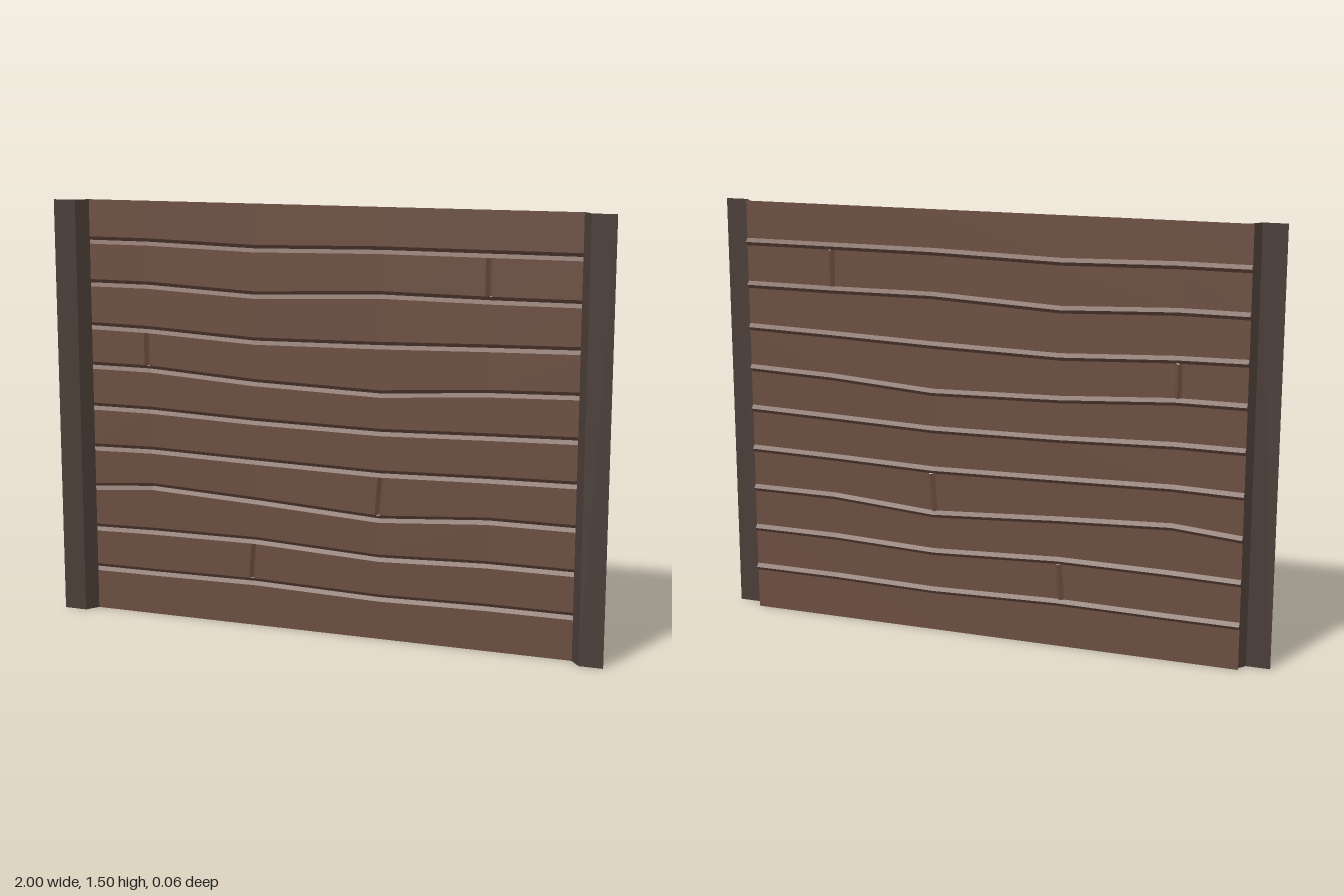
import * as THREE from 'three';

const H = 1.5;
const FACE = -0.016, VALLEY = -0.028, FRONT = 0.028;
const HALF = 0.013; // half the height of a groove
const KNOTS = [-0.9, -0.66, -0.26, 0.2, 0.58, 0.9];

// centre heights of the wavy grooves at each knot, bottom to top
const GROOVES = [
  [0.155, 0.156, 0.16, 0.148, 0.155, 0.155],
  [0.305, 0.31, 0.312, 0.291, 0.305, 0.305],
  [0.457, 0.476, 0.457, 0.43, 0.457, 0.457],
  [0.605, 0.61, 0.6, 0.59, 0.6, 0.605],
  [0.756, 0.756, 0.742, 0.735, 0.746, 0.754],
  [0.906, 0.905, 0.88, 0.868, 0.893, 0.903],
  [1.05, 1.046, 1.026, 1.034, 1.045, 1.052],
  [1.204, 1.204, 1.186, 1.206, 1.203, 1.204],
  [1.356, 1.356, 1.346, 1.356, 1.356, 1.356],
];

// upright butt joints: plank number -> x at the bottom and top
const JOINTS = { 1: [-0.272, -0.262], 3: [0.197, 0.207], 6: [-0.668, -0.668], 8: [0.575, 0.575] };

const heightAt = (line, x) => {
  let i = 0;
  while (i < KNOTS.length - 2 && x > KNOTS[i + 1]) i++;
  return THREE.MathUtils.mapLinear(x, KNOTS[i], KNOTS[i + 1], line[i], line[i + 1]);
};

// ribbon of quads between a lower and an upper row of points, facing +z
function ribbon(name, lower, upper, material) {
  const pos = [], index = [];
  lower.forEach((p, i) => {
    pos.push(...p, ...upper[i]);
    if (i) {
      const a = 2 * i - 2;
      index.push(a, a + 2, a + 3, a, a + 3, a + 1);
    }
  });
  const geo = new THREE.BufferGeometry();
  geo.setAttribute('position', new THREE.Float32BufferAttribute(pos, 3));
  geo.setIndex(index);
  const flat = geo.toNonIndexed();
  flat.computeVertexNormals();
  const mesh = new THREE.Mesh(flat, material);
  mesh.name = name;
  return mesh;
}

export function createModel() {
  const group = new THREE.Group();
  group.name = 'plankWall';
  const opts = { flatShading: true, side: THREE.DoubleSide };
  const wood = new THREE.MeshStandardMaterial({ color: 0x6b4d3f, ...opts });
  const dark = new THREE.MeshStandardMaterial({ color: 0x4a3c36, ...opts });

  // planks, some split by an upright V joint
  for (let n = 0; n <= GROOVES.length; n++) {
    const bottom = n ? x => heightAt(GROOVES[n - 1], x) + HALF : () => 0;
    const top = n < GROOVES.length ? x => heightAt(GROOVES[n], x) - HALF : () => H;
    let columns = KNOTS.map(x => [x, x, FACE]);
    const joint = JOINTS[n];
    if (joint) {
      columns = columns.filter(c => Math.abs(c[0] - joint[0]) > 0.02);
      for (const [d, z] of [[-0.012, FACE], [0, VALLEY], [0.012, FACE]])
        columns.push([joint[0] + d, joint[1] + d, z]);
      columns.sort((a, b) => a[0] - b[0]);
    }
    group.add(ribbon('plank' + (n + 1),
      columns.map(([x, , z]) => [x, bottom(x), z]),
      columns.map(([, x, z]) => [x, top(x), z]), wood));
  }

  // V grooves between the planks
  GROOVES.forEach((line, n) => {
    const row = (dy, z) => KNOTS.map((x, i) => [x, line[i] + dy, z]);
    group.add(
      ribbon('grooveLowerSide' + (n + 1), row(-HALF, FACE), row(0, VALLEY), wood),
      ribbon('grooveUpperSide' + (n + 1), row(0, VALLEY), row(HALF, FACE), wood));
  });

  // corner trims: a flat outer face and a slanted return to the planks
  for (const [name, s] of [['leftTrim', 1], ['rightTrim', -1]]) {
    const profile = [[s, FRONT], [s * 0.917, FRONT], [s * 0.885, FACE]];
    if (s > 0) profile.reverse();
    group.add(ribbon(name,
      profile.map(([x, z]) => [x, 0, z]),
      profile.map(([x, z]) => [x, H, z]), dark));
  }
  return group;
}
